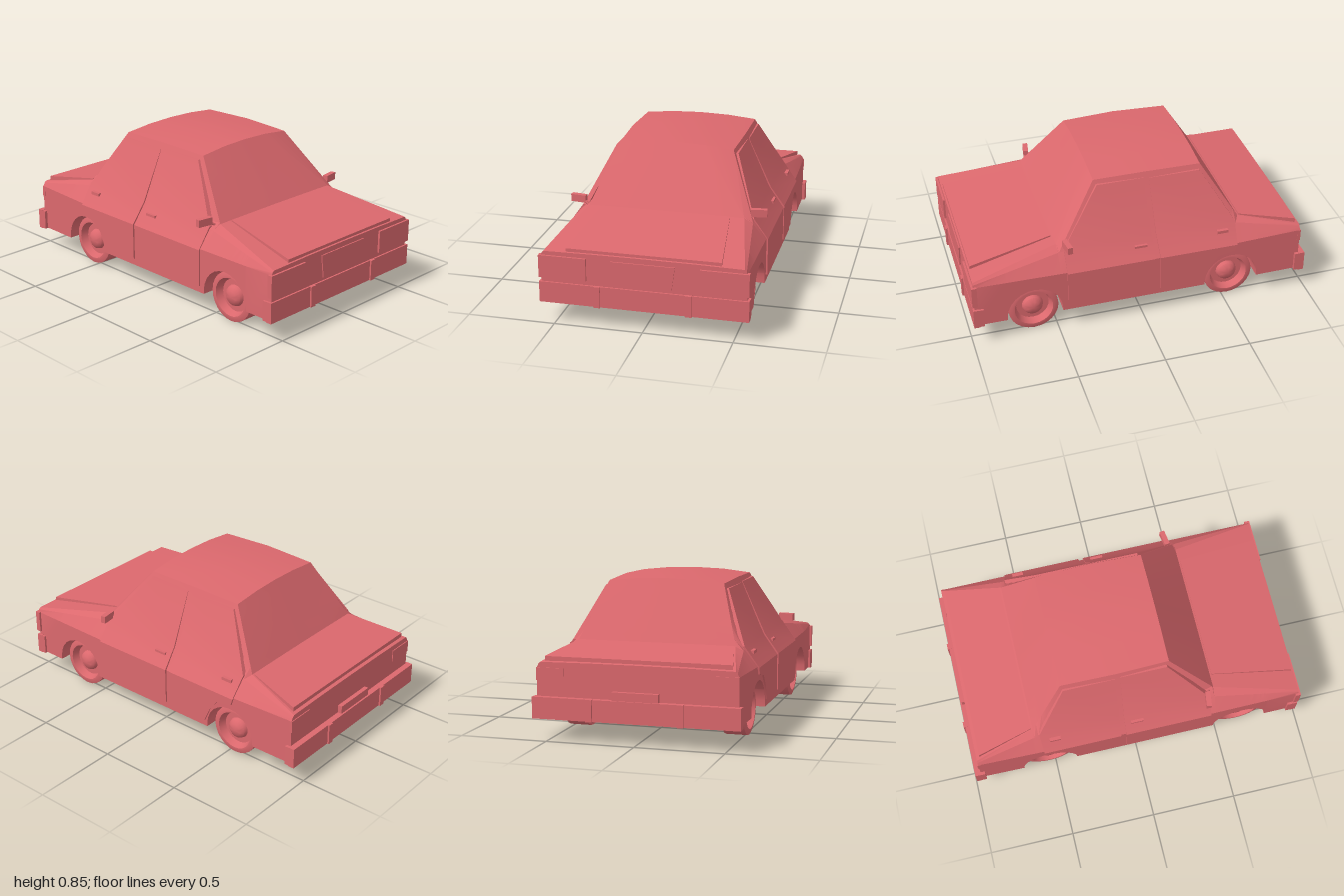
import * as THREE from 'three';
import { toCreasedNormals } from 'three/addons/utils/BufferGeometryUtils.js';

const paint = new THREE.MeshStandardMaterial({ color: 0xdb686d });
paint.name = 'red paint';

// Closed skin over rings of [x, y, z], counter-clockwise seen from the first end
function loft(rings, crease = 0.4) {
  const pos = [];
  const tri = (...p) => p.forEach((v) => pos.push(...v));
  const n = rings[0].length;
  const mid = (r) => [0, 1, 2].map((k) => r.reduce((s, p) => s + p[k], 0) / n);
  const last = rings[rings.length - 1];
  const c0 = mid(rings[0]), c1 = mid(last);
  for (let j = 0; j < n; j++) {
    const k = (j + 1) % n;
    tri(c0, rings[0][j], rings[0][k]);
    tri(c1, last[k], last[j]);
    for (let i = 0; i + 1 < rings.length; i++) {
      const a = rings[i][j], b = rings[i][k], c = rings[i + 1][k], d = rings[i + 1][j];
      tri(a, d, c);
      tri(a, c, b);
    }
  }
  const g = new THREE.BufferGeometry();
  g.setAttribute('position', new THREE.Float32BufferAttribute(pos, 3));
  return toCreasedNormals(g, crease);
}

// Linear lookup in rows sorted by falling first value
function lookup(rows, t) {
  let i = 0;
  while (i < rows.length - 2 && t < rows[i + 1][0]) i++;
  const a = rows[i], b = rows[i + 1];
  const f = THREE.MathUtils.clamp((a[0] - t) / (a[0] - b[0]), 0, 1);
  return a.map((v, k) => v + (b[k] - v) * f);
}

const AXLES = [0.635, -0.535];
const WHEEL_Y = 0.147;

// Bottom edge of the body, rising over the wheels
function bottomY(z) {
  let y = 0.13;
  for (const c of AXLES) {
    const d = 0.16 ** 2 - (z - c) ** 2;
    if (d > 0) y = Math.max(y, 0.15 + Math.sqrt(d));
  }
  return y;
}

// z, flank top x y, shoulder x y, roof or hood edge x y, halfway y, centre y
const STATIONS = [
  [0.98, 0.57, 0.395, 0.565, 0.41, 0.555, 0.42, 0.424, 0.425],
  [0.48, 0.572, 0.39, 0.5, 0.485, 0.45, 0.512, 0.514, 0.515],
  [0.23, 0.572, 0.385, 0.49, 0.5, 0.335, 0.822, 0.84, 0.845],
  [-0.08, 0.572, 0.38, 0.49, 0.5, 0.345, 0.83, 0.85, 0.857],
  [-0.4, 0.572, 0.385, 0.49, 0.5, 0.338, 0.822, 0.838, 0.843],
  [-0.6, 0.57, 0.39, 0.5, 0.48, 0.455, 0.502, 0.504, 0.505],
  [-0.955, 0.565, 0.4, 0.555, 0.42, 0.545, 0.43, 0.434, 0.435],
];

// Outer x of the cabin flank at a height
const FLANK = [[0.825, 0.34], [0.5, 0.49], [0.385, 0.572], [0.1, 0.572]];

function bodyGeometry() {
  const zs = STATIONS.map((s) => s[0]);
  for (const c of AXLES) {
    zs.push(c + 0.161, c - 0.161);
    for (let i = 0; i <= 12; i++) zs.push(c + 0.159 * Math.cos((i * Math.PI) / 12));
  }
  zs.sort((a, b) => b - a);
  return loft(zs.map((z) => {
    const [, x2, y2, x3, y3, x4, y4, y5, y6] = lookup(STATIONS, z);
    const yb = bottomY(z);
    const half = [[x2, yb], [x2, y2], [x3, y3], [x4, y4], [x4 / 2, y5]];
    return [[0, yb], ...half, [0, y6], ...half.slice().reverse().map(([x, y]) => [-x, y])]
      .map(([x, y]) => [x, y, z]);
  }));
}

// Door skin from rows of [y, front z, rear z], top row first
function doorGeometry(rows, side) {
  return loft(rows.map(([y, zf, zr]) => {
    const x = lookup(FLANK, y)[1];
    const ring = [[x + 0.009, zf], [x + 0.009, zr], [x - 0.02, zr], [x - 0.02, zf]]
      .map(([px, z]) => [px * side, y, z]);
    return side > 0 ? ring : ring.reverse();
  }), 0.3);
}

// Slab between two ends [z, half width, low y, high y], front end first
const slab = (...ends) => loft(ends.map(([z, w, y0, y1]) =>
  [[-w, y0, z], [w, y0, z], [w, y1, z], [-w, y1, z]]));

export function createModel() {
  const car = new THREE.Group();
  car.name = 'car';
  const add = (name, geometry, x = 0, y = 0, z = 0) => {
    const m = new THREE.Mesh(geometry, paint);
    m.name = name;
    m.position.set(x, y, z);
    car.add(m);
    return m;
  };
  const box = (name, w, h, d, x, y, z) => add(name, new THREE.BoxGeometry(w, h, d), x, y, z);

  add('body', bodyGeometry());
  add('hood', slab([0.97, 0.43, 0.41, 0.443], [0.49, 0.372, 0.49, 0.519]));
  add('trunkLid', slab([-0.61, 0.45, 0.48, 0.507], [-0.935, 0.525, 0.42, 0.46]));

  // Grille plate, narrower at the bottom
  const grille = new THREE.Shape([[-0.16, 0.26], [0.16, 0.26], [0.178, 0.395], [-0.178, 0.395]]
    .map((p) => new THREE.Vector2(...p)));
  add('grille', new THREE.ExtrudeGeometry(grille, { depth: 0.009, bevelEnabled: false }), 0, 0, 0.978);
  box('rearPlate', 0.26, 0.055, 0.03, 0, 0.262, -0.965);

  // Bumpers with ends wrapping round the corners
  for (const s of [1, -1]) {
    const name = s > 0 ? 'front' : 'rear';
    box(name + 'Bumper', 1.166, 0.12, 0.035, 0, 0.183, s * 0.9725);
    for (const x of [-1, 1]) {
      box(name + 'BumperEnd', 0.02, 0.115, 0.06, x * 0.573, 0.184, s * 0.96);
      box(name + 'Overrider', 0.035, 0.122, 0.03, x * 0.255, 0.183, s * 0.985);
    }
  }

  // Wheel turned around its axle, with a recessed rim and domed hub
  const profile = [[0, -0.066], [0.09, -0.066], [0.145, -0.066], [0.145, 0.058], [0.123, 0.066],
    [0.112, 0.066], [0.095, 0.025], [0.062, 0.025], [0.055, 0.045], [0.035, 0.06], [0, 0.066]];
  const wheel = toCreasedNormals(new THREE.LatheGeometry(
    profile.map((p) => new THREE.Vector2(...p)), 24).rotateZ(-Math.PI / 2), 0.6);
  const axle = new THREE.CylinderGeometry(0.025, 0.025, 0.8, 12).rotateZ(Math.PI / 2);

  AXLES.forEach((z, i) => {
    add(i ? 'rearAxle' : 'frontAxle', axle, 0, WHEEL_Y, z);
    for (const s of [1, -1]) {
      add(i ? 'rearWheel' : 'frontWheel', wheel, s * 0.462, WHEEL_Y, z).rotation.y = s > 0 ? 0 : Math.PI;
    }
  });

  const frontDoor = [[0.8, 0.215, -0.058], [0.5, 0.445, -0.068], [0.385, 0.445, -0.07], [0.17, 0.445, -0.07]];
  const rearDoor = [[0.795, -0.09, -0.39], [0.5, -0.095, -0.57], [0.385, -0.1, -0.562], [0.345, -0.1, -0.55],
    [0.325, -0.1, -0.45], [0.26, -0.1, -0.4], [0.17, -0.1, -0.36]];

  for (const s of [1, -1]) {
    add('frontDoor', doorGeometry(frontDoor, s));
    add('rearDoor', doorGeometry(rearDoor, s));
    box('frontDoorHandle', 0.02, 0.014, 0.075, s * 0.53, 0.457, 0.005);
    box('rearDoorHandle', 0.02, 0.018, 0.065, s * 0.53, 0.462, -0.485);

    // Lights
    box('headlight', 0.268, 0.13, 0.03, s * 0.449, 0.333, 0.977);
    box('tailLight', 0.16, 0.07, 0.02, s * 0.487, 0.365, -0.95);

    // Mirror on a short arm
    box('mirror', 0.09, 0.043, 0.03, s * 0.525, 0.533, 0.43).rotation.y = s * 0.15;
    const arm = new THREE.LineCurve3(
      new THREE.Vector3(s * 0.455, 0.5, 0.455), new THREE.Vector3(s * 0.5, 0.53, 0.435));
    add('mirrorArm', new THREE.TubeGeometry(arm, 1, 0.008, 6));
  }
  return car;
}
